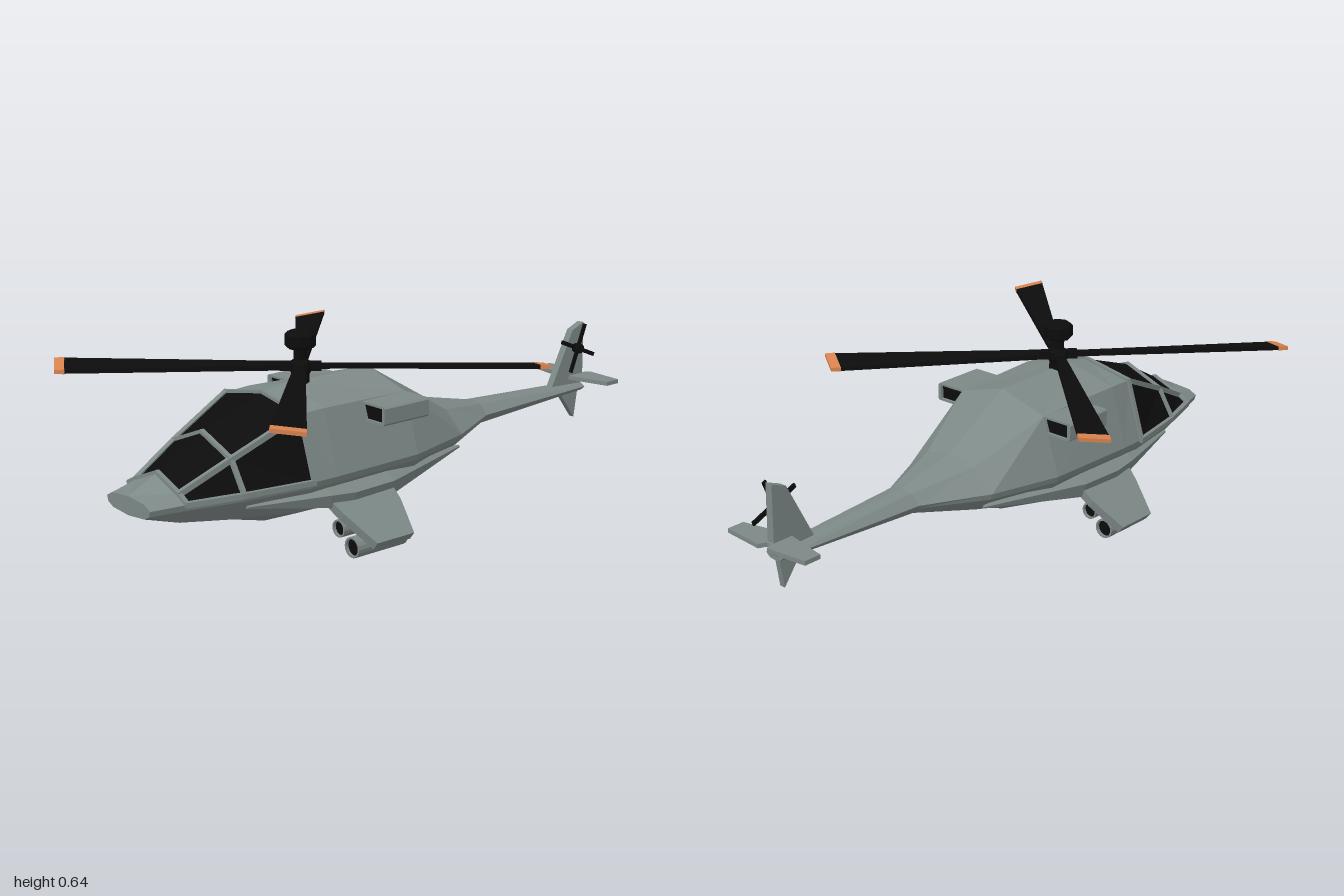
import * as THREE from 'three';

const mat = (color) => new THREE.MeshStandardMaterial({ color, flatShading: true });
const BODY = mat(0x7d8987), BLACK = mat(0x0c0c0c), ORANGE = mat(0xd9834f);

function add(parent, name, geo, material, x = 0, y = 0, z = 0) {
  const m = new THREE.Mesh(geo, material);
  m.name = name;
  m.position.set(x, y, z);
  parent.add(m);
  return m;
}

// Skin between rings ordered from +z to -z, each clockwise seen from +z
function loft(rings, keep = () => true, caps = true) {
  const n = rings[0].length, idx = [];
  for (let i = 0; i < rings.length - 1; i++) {
    for (let j = 0; j < n; j++) {
      if (!keep(i, j)) continue;
      const k = (j + 1) % n;
      const a = i * n + j, b = i * n + k, c = b + n, d = a + n;
      if (j < n / 2) idx.push(a, b, c, a, c, d);
      else idx.push(a, b, d, b, c, d);
    }
  }
  const last = (rings.length - 1) * n;
  for (let j = 1; caps && j < n - 1; j++) {
    idx.push(0, j + 1, j, last, last + j, last + j + 1);
  }
  const g = new THREE.BufferGeometry();
  g.setAttribute('position', new THREE.Float32BufferAttribute(rings.flat(2), 3));
  g.setIndex(idx);
  const out = g.toNonIndexed();
  out.computeVertexNormals();
  return out;
}

const shapeOf = (pts) => new THREE.Shape(pts.map(([x, y]) => new THREE.Vector2(x, y)));

// Flat extruded outline, centred on its thickness
function plate(shape, depth, curveSegments = 4) {
  const g = new THREE.ExtrudeGeometry(shape, { depth, bevelEnabled: false, curveSegments });
  return g.translate(0, 0, -depth / 2);
}

// Square bar between two points
function bar(parent, name, a, b, w) {
  const p = new THREE.Vector3(...a), q = new THREE.Vector3(...b);
  const m = add(parent, name, new THREE.BoxGeometry(w, w, p.distanceTo(q) + w * 0.5), BODY);
  m.position.copy(p).lerp(q, 0.5);
  m.lookAt(q);
}

// z, top y, roof edge x/y, belt x/y, belt underside y, chine x/y, keel y
const SECTIONS = [
  [0.99, 0.247, 0.08, 0.24, 0.11, 0.225, 0.207, 0.08, 0.195, 0.188],
  [0.885, 0.297, 0.105, 0.255, 0.145, 0.232, 0.212, 0.105, 0.168, 0.152],
  [0.72, 0.39, 0.14, 0.335, 0.2, 0.238, 0.217, 0.14, 0.15, 0.122],
  [0.49, 0.472, 0.18, 0.438, 0.243, 0.24, 0.22, 0.175, 0.13, 0.06],
  [0.4, 0.485, 0.185, 0.442, 0.245, 0.24, 0.22, 0.178, 0.13, 0.057],
  [0.06, 0.485, 0.175, 0.435, 0.238, 0.242, 0.222, 0.17, 0.135, 0.06],
  [-0.19, 0.338, 0.1, 0.315, 0.178, 0.247, 0.227, 0.11, 0.175, 0.15],
  [-0.41, 0.29, 0.04, 0.282, 0.072, 0.25, 0.24, 0.045, 0.218, 0.205],
  [-0.94, 0.265, 0.02, 0.262, 0.036, 0.252, 0.246, 0.02, 0.238, 0.236],
];
const RINGS = SECTIONS.map(([z, yt, xr, yr, xb, yb, yu, xc, yc, yk]) => [
  [0, yt, z], [xr, yr, z], [xb, yb, z], [xb - 0.006, yu, z], [xc, yc, z],
  [0, yk, z], [-xc, yc, z], [0.006 - xb, yu, z], [-xb, yb, z], [-xr, yr, z],
]);
const isGlass = (i, j) => (i === 1 || i === 2) && (j < 2 || j > 7);

// Parts on the model's left; the caller mirrors them
function sideParts() {
  const g = new THREE.Group();

  // Long fairing along the lower flank
  const fairing = [
    [0.7, 0.19, 0.195, 0.1], [0.43, 0.235, 0.185, 0.85], [0.34, 0.24, 0.178, 1],
    [0.18, 0.235, 0.18, 1], [-0.2, 0.155, 0.2, 0.1],
  ].map(([z, x, y, s]) => [[-0.075, 0.03], [-0.01, 0.03], [0.025, 0.005], [0.01, -0.045], [-0.05, -0.055], [-0.08, -0.03]]
    .map(([dx, dy]) => [x + dx * s, y + dy * s, z]));
  add(g, 'flankFairing', loft(fairing), BODY);

  // Drooping stub wing
  const wing = shapeOf([[-0.02, -0.44], [0.1, -0.41], [0.225, -0.365], [0.225, -0.215], [0.1, -0.18], [-0.02, -0.17]]);
  add(g, 'stubWing', plate(wing, 0.03).rotateX(-Math.PI / 2), BODY, 0.2, 0.182, 0).rotation.z = -0.66;

  // Tubes under the wing, open at both ends
  for (const [x, y, r] of [[0.315, 0.033, 0.033], [0.253, 0.078, 0.028]]) {
    const tube = new THREE.Shape().absarc(0, 0, r, 0, Math.PI * 2);
    tube.holes.push(new THREE.Path().absarc(0, 0, r * 0.82, 0, Math.PI * 2));
    add(g, 'wingTube', plate(tube, 0.2, 8), BODY, x, y, 0.305);
    const core = new THREE.CylinderGeometry(r * 0.85, r * 0.85, 0.18, 16).rotateX(Math.PI / 2);
    add(g, 'wingTubeCore', core, BLACK, x, y, 0.305);
  }

  // Engine duct with dark ends
  const duct = shapeOf([[0.14, 0.375], [0.279, 0.375], [0.285, 0.381], [0.285, 0.429], [0.279, 0.435], [0.14, 0.435]]);
  duct.holes.push(shapeOf([[0.17, 0.382], [0.17, 0.428], [0.272, 0.428], [0.272, 0.382]]));
  add(g, 'engineDuct', plate(duct, 0.185), BODY, 0, 0, 0.152);
  add(g, 'engineDuctCore', new THREE.BoxGeometry(0.104, 0.048, 0.165), BLACK, 0.221, 0.405, 0.152);

  // Canopy frame
  const P = (i, j) => RINGS[i][j];
  for (const i of [1, 2, 3]) {
    bar(g, 'canopyHoop', P(i, 0), P(i, 1), 0.015);
    bar(g, 'canopyHoop', P(i, 1), P(i, 2), 0.015);
  }
  for (const i of [1, 2]) {
    bar(g, 'canopyRail', P(i, 1), P(i + 1, 1), 0.017);
    bar(g, 'canopySill', P(i, 2), P(i + 1, 2), 0.017);
  }
  return g;
}

function mainRotor() {
  const g = new THREE.Group();
  g.name = 'mainRotor';
  g.position.set(0, 0.53, 0.338);
  // Mast, hub and cap in one turned profile
  const profile = [[0, -0.07], [0.028, -0.07], [0.028, -0.025], [0.036, -0.012], [0.036, 0.012], [0.021, 0.022],
    [0.021, 0.055], [0.04, 0.057], [0.049, 0.066], [0.049, 0.1], [0.038, 0.11], [0, 0.11]];
  add(g, 'rotorMast', new THREE.LatheGeometry(profile.map(([x, y]) => new THREE.Vector2(x, y)), 8), BLACK);

  // Blade cross-section: chord and half thickness at radius r, pitched
  const ring = (r, chord, t) => [[-1, 1], [1, 1], [1, -1], [-1, -1]]
    .map(([sx, sy]) => [sx * chord / 2, sy * t - sx * chord * 0.08, r - sx * 0.008]);
  for (let k = 0; k < 4; k++) {
    const arm = new THREE.Group();
    arm.name = 'rotorBlade';
    arm.rotation.y = THREE.MathUtils.degToRad(48 + 90 * k);
    add(arm, 'bladeSpan', loft([ring(0.73, 0.098, 0.006), ring(0.12, 0.042, 0.008), ring(0.02, 0.03, 0.009)]), BLACK);
    add(arm, 'bladeTip', loft([ring(0.762, 0.1, 0.006), ring(0.73, 0.1, 0.0075)]), ORANGE);
    add(arm, 'bladeGrip', new THREE.BoxGeometry(0.03, 0.026, 0.05), BLACK, 0, 0, 0.04);
    g.add(arm);
  }
  return g;
}

function tail() {
  const g = new THREE.Group();
  g.name = 'tail';
  // Fins drawn with -z to the right
  const upper = shapeOf([[0.79, 0.26], [0.94, 0.25], [0.952, 0.28], [0.95, 0.482], [0.895, 0.46]]);
  const lower = shapeOf([[0.835, 0.245], [0.915, 0.14], [0.932, 0.245]]);
  add(g, 'upperFin', plate(upper, 0.026).rotateY(Math.PI / 2), BODY);
  add(g, 'lowerFin', plate(lower, 0.02).rotateY(Math.PI / 2), BODY);

  // Horizontal stabiliser, both halves in one outline
  const half = [[0.008, 0.88], [0.165, 0.912], [0.165, 0.972], [0.02, 0.985], [0.008, 0.96]];
  const outline = [...half, ...half.map(([x, y]) => [-x, y]).reverse()];
  add(g, 'stabiliser', plate(shapeOf(outline), 0.014).rotateX(-Math.PI / 2), BODY, 0, 0.29, 0);

  // Tail rotor on the left of the fin
  const rotor = new THREE.Group();
  rotor.name = 'tailRotor';
  rotor.position.set(0.026, 0.395, -0.91);
  rotor.rotation.x = -0.39;
  add(rotor, 'tailRotorHub', new THREE.CylinderGeometry(0.017, 0.017, 0.03, 8).rotateZ(Math.PI / 2), BLACK);
  add(rotor, 'tailBlades', new THREE.BoxGeometry(0.007, 0.18, 0.014), BLACK);
  add(rotor, 'tailBlades', new THREE.BoxGeometry(0.007, 0.014, 0.18), BLACK);
  g.add(rotor);
  return g;
}

export function createModel() {
  const model = new THREE.Group();
  model.name = 'helicopter';
  add(model, 'fuselage', loft(RINGS, (i, j) => !isGlass(i, j)), BODY);
  add(model, 'canopyGlass', loft(RINGS, isGlass, false), BLACK);

  const left = sideParts(), right = sideParts();
  left.name = 'leftSide';
  right.name = 'rightSide';
  right.scale.x = -1;
  model.add(left, right, mainRotor(), tail());
  return model;
}
